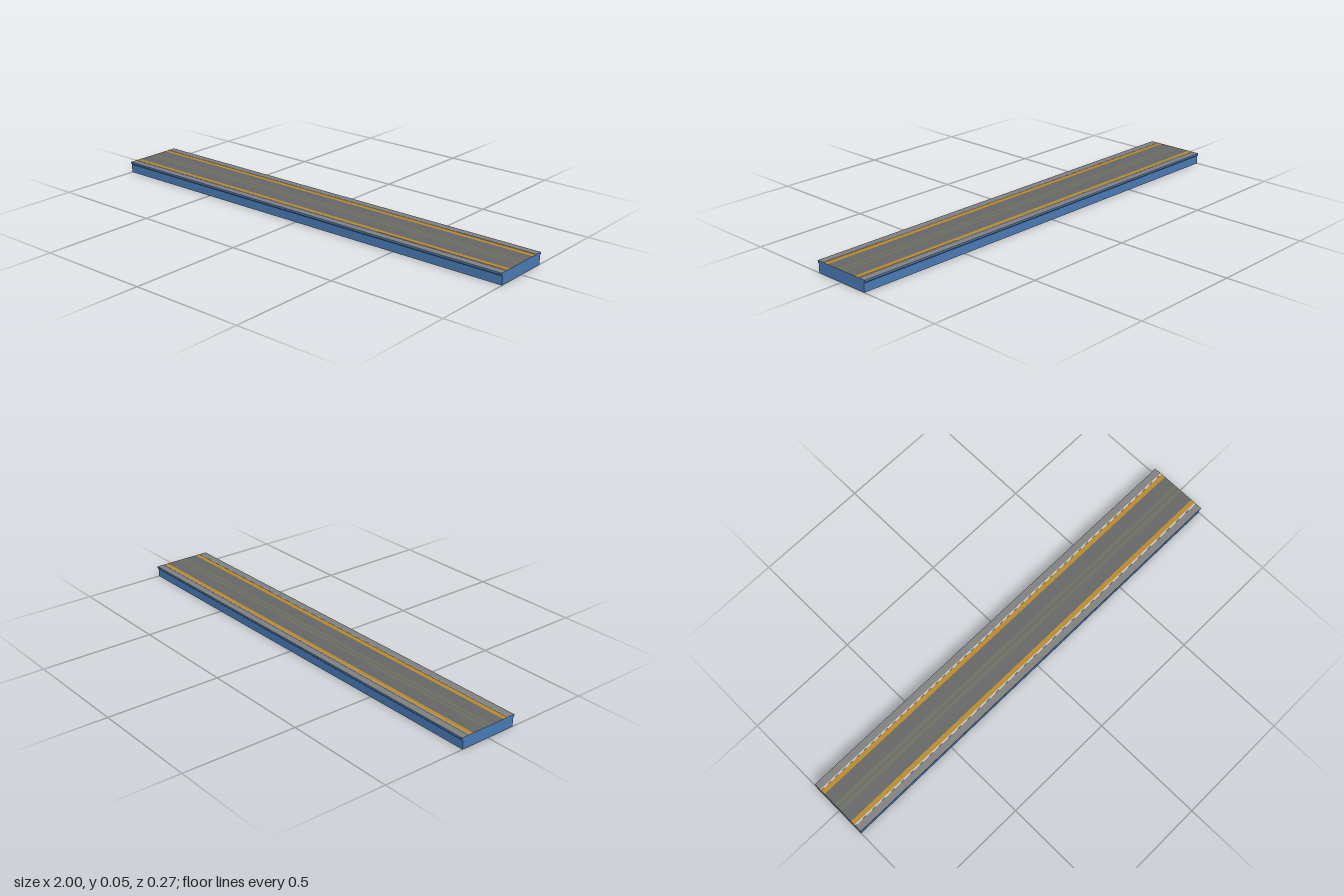
import * as THREE from 'three';

const LENGTH = 2, TOP = 0.05;
// Half cross-section of the skirt as [z, y]: straight wall, chamfer, overhanging lip
const PROFILE = [[0.13, 0], [0.13, 0.037], [0.135, 0.042], [0.135, TOP]];

const material = (color) =>
  new THREE.MeshStandardMaterial({ color, side: THREE.DoubleSide, flatShading: true });

export function createModel() {
  const model = new THREE.Group();
  const blue = material(0x4a7ab5), edge = material(0x808080), white = material(0xc8c8c8);
  const amber = material(0xb88a2c), asphalt = material(0x666666), olive = material(0x6b705f);

  const add = (name, geometry, mat, x = 0, y = 0, z = 0) => {
    const mesh = new THREE.Mesh(geometry, mat);
    mesh.name = name;
    mesh.position.set(x, y, z);
    model.add(mesh);
    return mesh;
  };

  // Thin panel spanning the length between two profile points
  const panel = (name, [z0, y0], [z1, y1], mat) => {
    const g = new THREE.PlaneGeometry(LENGTH, Math.hypot(z1 - z0, y1 - y0));
    g.rotateX(Math.atan2(z1 - z0, y1 - y0));
    return add(name, g, mat, 0, (y0 + y1) / 2, (z0 + z1) / 2);
  };

  // Long side walls with their lips
  for (const s of [1, -1]) {
    for (let i = 0; i < PROFILE.length - 1; i++) {
      const [a, b] = [PROFILE[i], PROFILE[i + 1]];
      panel(i ? 'sideLip' : 'sideWall', [s * a[0], a[1]], [s * b[0], b[1]], blue);
    }
  }

  // End walls closing the open-bottomed shell
  const outline = [...PROFILE, ...PROFILE.map(([z, y]) => [-z, y]).reverse()];
  const endShape = new THREE.Shape(outline.map(([z, y]) => new THREE.Vector2(z, y)));
  for (const s of [1, -1]) {
    const g = new THREE.ShapeGeometry(endShape).rotateY(s * Math.PI / 2);
    add('endWall', g, blue, s * LENGTH / 2);
  }

  // Deck sheet, laid as side-by-side strips mirrored about the centre line
  const strips = [
    ['deckCentre', 0, 0.005, asphalt],
    ['centreBand', 0.005, 0.02, olive],
    ['deckSurface', 0.02, 0.078, asphalt],
    ['tactileStrip', 0.078, 0.098, amber],
    ['safetyLineBase', 0.098, 0.104, white],
    ['deckEdge', 0.104, 0.135, edge],
  ];
  for (const s of [1, -1]) {
    for (const [name, z0, z1, mat] of strips) {
      const g = new THREE.PlaneGeometry(LENGTH, z1 - z0).rotateX(-Math.PI / 2);
      add(name, g, mat, 0, TOP, s * (z0 + z1) / 2);
    }
    // Slightly raised safety line
    add('safetyLine', new THREE.BoxGeometry(LENGTH, 0.002, 0.004), white, 0, TOP + 0.001, s * 0.101);
  }

  return model;
}
